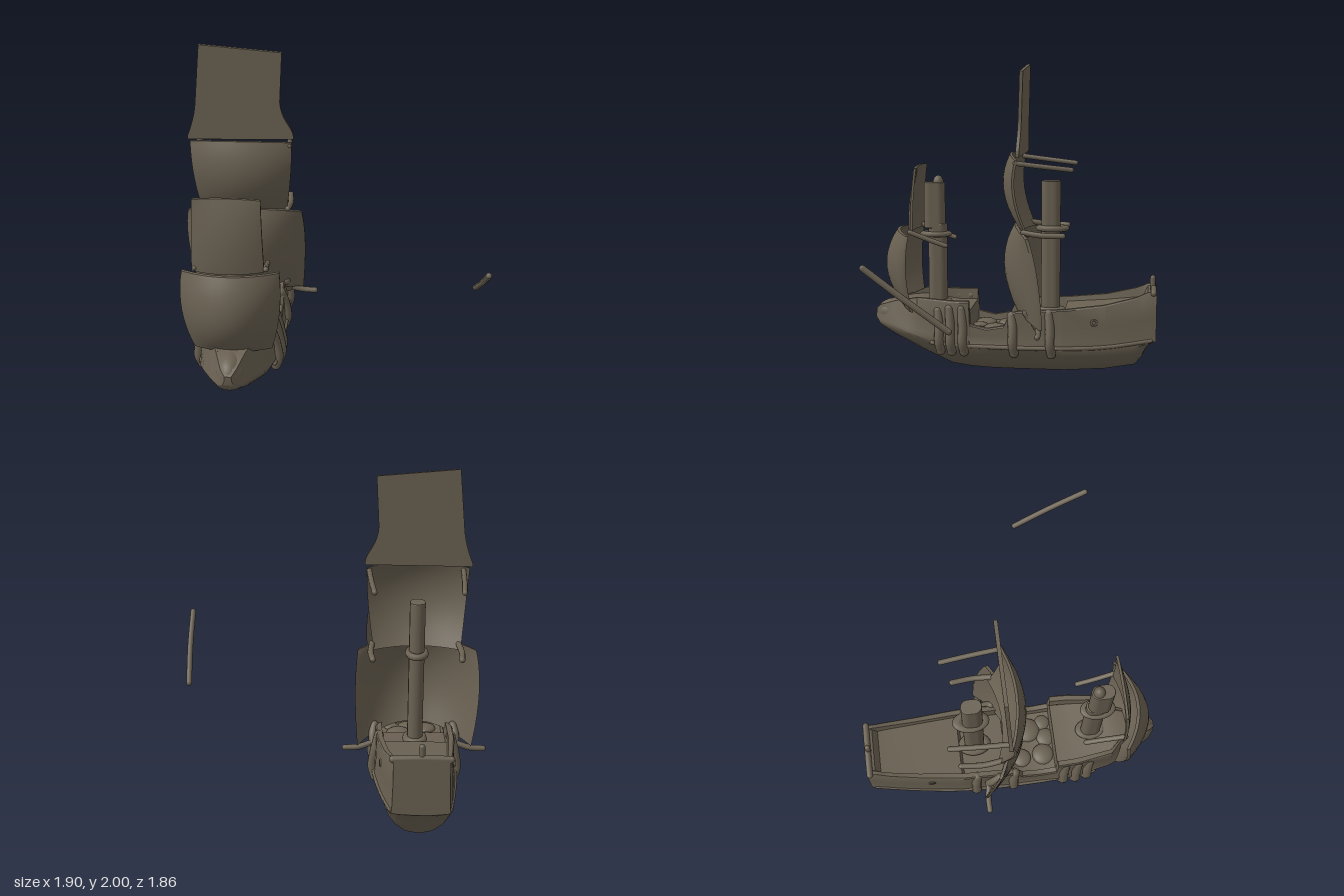
import * as THREE from 'three';
import { toCreasedNormals } from 'three/addons/utils/BufferGeometryUtils.js';

const CX = -0.515; // ship centreline
const wood = new THREE.MeshStandardMaterial({ color: 0x6a6152 });
wood.name = 'weathered brown';

function add(parent, name, geo) {
  const m = new THREE.Mesh(geo, wood);
  m.name = name;
  parent.add(m);
  return m;
}

// Closed skin over a run of equal-length loops, capped by strips
function loft(loops, crease) {
  const n = loops[0].length, idx = [];
  for (let i = 0; i < loops.length - 1; i++) {
    for (let j = 0; j < n; j++) {
      const a = i * n + j, b = i * n + (j + 1) % n, c = a + n, d = b + n;
      idx.push(a, c, b, b, c, d);
    }
  }
  const e = (loops.length - 1) * n;
  for (let j = 0; j < n / 2 - 1; j++) {
    const k = n - 1 - j;
    idx.push(j, j + 1, k, j + 1, k - 1, k);
    idx.push(e + j, e + k, e + j + 1, e + j + 1, e + k, e + k - 1);
  }
  const g = new THREE.BufferGeometry();
  g.setAttribute('position', new THREE.Float32BufferAttribute(loops.flat(2), 3));
  g.setIndex(idx);
  return toCreasedNormals(g, crease);
}

// Billowed sail through a head, belly and foot row: [y centre, y edge, x left, x right, z centre, z edge]
function sail(head, belly, foot, thick) {
  const N = 14, M = 10, loops = [];
  for (let r = 0; r <= M; r++) {
    const t = r / M;
    const [yc, ye, x0, x1, zc, ze] = head.map((h, i) =>
      h * (1 - t) * (1 - 2 * t) + belly[i] * 4 * t * (1 - t) + foot[i] * t * (2 * t - 1));
    const front = [], back = [];
    for (let i = 0; i <= N; i++) {
      const k = (i / N * 2 - 1) ** 2;
      const x = x0 + (x1 - x0) * i / N, y = yc + (ye - yc) * k, z = zc + (ze - zc) * k;
      front.push([x, y, z]);
      back.unshift([x, y, z - thick]);
    }
    loops.push([...front, ...back]);
  }
  return loft(loops, 0.9);
}

// Round-ended rod through points
function addRod(parent, name, points, r) {
  const g = new THREE.Group();
  g.name = name;
  parent.add(g);
  const v = points.map(p => new THREE.Vector3(...p));
  add(g, 'shaft', new THREE.TubeGeometry(new THREE.CatmullRomCurve3(v), 12, r, 10));
  for (const p of [v[0], v[v.length - 1]]) {
    add(g, 'roundEnd', new THREE.SphereGeometry(r, 10, 8)).position.copy(p);
  }
}

function buildHull() {
  // z, keel y, half width, rail y, deck y
  const stations = [
    [0.93, 0.33, 0.03, 0.385, 0.385],
    [0.9, 0.275, 0.07, 0.415, 0.415],
    [0.8, 0.215, 0.125, 0.45, 0.45],
    [0.69, 0.165, 0.18, 0.475, 0.465],
    [0.62, 0.13, 0.208, 0.5, 0.46],
    [0.4, 0.03, 0.245, 0.49, 0.42],
    [0.275, 0.012, 0.25, 0.49, 0.42],
    [0.268, 0.012, 0.25, 0.34, 0.29],
    [0.16, 0.005, 0.25, 0.315, 0.28],
    [0.05, 0.003, 0.25, 0.335, 0.28],
    [0.01, 0.003, 0.25, 0.42, 0.29],
    [-0.05, 0.003, 0.25, 0.435, 0.36],
    [-0.32, 0.003, 0.245, 0.45, 0.37],
    [-0.335, 0.003, 0.245, 0.45, 0.42],
    [-0.6, 0.02, 0.215, 0.482, 0.445],
    [-0.79, 0.055, 0.19, 0.53, 0.47],
    [-0.84, 0.12, 0.18, 0.55, 0.48],
    [-0.87, 0.19, 0.175, 0.565, 0.55],
    [-0.925, 0.235, 0.165, 0.565, 0.565],
  ];
  return loft(stations.map(([z, b, hw, t, d]) => {
    const w = 0.2 + b * (z > 0 ? 0.4 : 0.2); // wale height
    const th = hw * (z > 0.65 ? 0.65 : 0.94); // rail half width
    const h = w - b, u = t - w;
    const half = [
      [hw * 0.4, b + h * 0.1], [hw * 0.7, b + h * 0.36], [hw * 0.9, b + h * 0.7],
      [hw, w], [hw * 0.97, w + u * 0.12], [(hw + th) / 2 - 0.004, w + u * 0.5],
      [th, t - 0.008], [th * 0.97, t], [th * 0.84, t], [th * 0.81, d],
    ];
    const right = half.map(([x, y]) => [CX + x, y, z]);
    const left = half.map(([x, y]) => [CX - x, y, z]).reverse();
    return [[CX, b, z], ...right, [CX, d, z], ...left];
  }), 0.65);
}

// Mast with a flattened oval section
function addMast(parent, name, z, depth, y0, y1) {
  const r = 0.045, k = depth / 2 - r, s = new THREE.Shape();
  s.absarc(0, k, r, 0, Math.PI);
  s.absarc(0, -k, r, Math.PI, Math.PI * 2);
  const g = new THREE.ExtrudeGeometry(s, {
    depth: y1 - y0, bevelSize: 0.006, bevelThickness: 0.006, bevelOffset: -0.006, bevelSegments: 2, curveSegments: 10,
  });
  g.rotateX(-Math.PI / 2);
  add(parent, name, g).position.set(CX, y0, z);
}

// Oval collar round a mast
function addCollar(parent, name, y, z, rz, tube) {
  const m = add(parent, name, new THREE.TorusGeometry(0.05, tube, 8, 24));
  m.rotation.x = Math.PI / 2;
  m.scale.y = rz / 0.05;
  m.position.set(CX, y, z);
}

// Flat, waisted topsail leaning slightly aft
function buildTopsail() {
  const s = new THREE.Shape();
  s.moveTo(-0.845, 1.42);
  s.lineTo(-0.21, 1.43);
  s.bezierCurveTo(-0.2, 1.5, -0.28, 1.53, -0.288, 1.66);
  s.lineTo(-0.272, 1.96);
  s.lineTo(-0.755, 2.0);
  s.lineTo(-0.79, 1.64);
  s.quadraticCurveTo(-0.8, 1.55, -0.845, 1.44);
  const g = new THREE.ExtrudeGeometry(s, { depth: 0.022, bevelEnabled: false, curveSegments: 10 });
  const p = g.attributes.position;
  for (let i = 0; i < p.count; i++) p.setZ(i, p.getZ(i) - 0.055 - (p.getY(i) - 1.42) * 0.035);
  return g;
}

export function createModel() {
  const model = new THREE.Group();
  model.name = 'sailingShip';
  add(model, 'hull', buildHull());

  // Rounded prow
  const prow = add(model, 'prow', new THREE.SphereGeometry(1, 24, 16));
  prow.scale.set(0.085, 0.095, 0.13);
  prow.position.set(CX, 0.36, 0.8);

  // Masts, foot mouldings and collars
  addMast(model, 'foreMastLower', 0.513, 0.125, 0.42, 0.96);
  addMast(model, 'foreMastUpper', 0.533, 0.14, 0.94, 1.23);
  const tip = add(model, 'foreMastTip', new THREE.SphereGeometry(0.04, 14, 10));
  tip.scale.set(0.9, 1.3, 0.9);
  tip.position.set(CX, 1.23, 0.508);
  addMast(model, 'mainMast', -0.235, 0.125, 0.36, 1.25);
  addCollar(model, 'foreMastCollar', 0.895, 0.525, 0.08, 0.018);
  addCollar(model, 'mainMastCollar', 0.945, -0.245, 0.08, 0.02);
  addCollar(model, 'foreMastFoot', 0.44, 0.513, 0.07, 0.02);
  addCollar(model, 'mainMastFoot', 0.4, -0.235, 0.07, 0.025);

  // Sails
  add(model, 'mainCourseSail', sail(
    [0.98, 0.92, -0.88, -0.17, 0, -0.1], [0.72, 0.67, -0.9, -0.155, 0.072, -0.16], [0.43, 0.34, -0.86, -0.17, -0.005, -0.19], 0.02));
  add(model, 'mainMiddleSail', sail(
    [1.435, 1.41, -0.83, -0.22, 0.03, -0.03], [1.19, 1.18, -0.815, -0.23, 0.074, -0.015], [0.93, 0.92, -0.785, -0.265, -0.045, -0.1], 0.016));
  add(model, 'foreCourseSail', sail(
    [0.935, 0.915, -0.79, -0.24, 0.775, 0.675], [0.68, 0.67, -0.797, -0.24, 0.856, 0.695], [0.43, 0.41, -0.74, -0.29, 0.74, 0.66], 0.02));
  add(model, 'foreUpperSail', sail(
    [1.35, 1.34, -0.718, -0.338, 0.64, 0.635], [1.13, 1.13, -0.726, -0.333, 0.693, 0.655], [0.91, 0.91, -0.735, -0.325, 0.7, 0.66], 0.016));
  add(model, 'mainTopsail', buildTopsail());

  for (const side of [-1, 1]) {
    const X = x => CX + side * x;
    // Spars reaching aft from the sail corners, and booms at the foot
    addRod(model, 'upperMainSpar', [[X(0.28), 1.39, -0.03], [X(0.27), 1.37, -0.2], [X(0.255), 1.35, -0.38]], 0.016);
    addRod(model, 'lowerMainSpar', [[X(0.26), 0.95, -0.08], [X(0.27), 0.935, -0.2], [X(0.26), 0.932, -0.33]], 0.018);
    addRod(model, 'foreSpar', [[X(0.2), 0.93, 0.66], [X(0.19), 0.88, 0.53], [X(0.185), 0.845, 0.43]], 0.016);
    addRod(model, 'sheetBoom', [[X(0.24), 0.35, -0.17], [X(0.34), 0.32, -0.185], [X(0.42), 0.315, -0.185]], 0.018);

    // Rope bands draped over the sides
    for (const [z, top] of [[0.47, 0.42], [0.395, 0.44], [0.315, 0.44], [-0.01, 0.4], [-0.25, 0.42]]) {
      const inset = z > 0.44 ? 0.012 : 0;
      addRod(model, 'ropeBand', [[X(0.215 - inset), top, z + 0.01], [X(0.24 - inset), 0.32, z],
        [X(0.253 - inset), 0.22, z], [X(0.235 - inset), 0.16, z - 0.01]], 0.03);
    }
    addRod(model, 'shortRopeBand', [[X(0.24), 0.43, -0.1], [X(0.25), 0.39, -0.14], [X(0.25), 0.34, -0.17]], 0.026);

    // Wale along the waterline, and a porthole
    addRod(model, 'wale', [[X(0.22), 0.21, 0.52], [X(0.242), 0.2, 0.25], [X(0.242), 0.2, -0.3],
      [X(0.208), 0.21, -0.6], [X(0.165), 0.25, -0.89]], 0.014);
    const port = add(model, 'porthole', new THREE.TorusGeometry(0.018, 0.006, 8, 18));
    port.rotation.y = Math.PI / 2;
    port.position.set(X(0.214), 0.37, -0.53);
  }

  // Stern post and transom rail
  addRod(model, 'sternPost', [[CX, 0.53, -0.9], [CX, 0.58, -0.9], [CX, 0.63, -0.9]], 0.018);
  addRod(model, 'sternRail', [[CX - 0.16, 0.56, -0.905], [CX, 0.565, -0.905], [CX + 0.16, 0.56, -0.905]], 0.02);

  // Cargo lumps on the waist deck
  for (const [x, z, r] of [[-0.09, 0.2, 0.07], [0.08, 0.12, 0.08], [0.02, 0.23, 0.06], [-0.1, 0.06, 0.06], [0.12, 0.22, 0.05]]) {
    const lump = add(model, 'deckCargo', new THREE.SphereGeometry(r, 14, 10));
    lump.scale.y = 0.4;
    lump.position.set(CX + x, 0.285, z);
  }

  // Loose spar away from the ship
  addRod(model, 'looseSpar', [[0.925, 0.925, 0.66], [0.92, 0.76, 0.44], [0.902, 0.585, 0.2]], 0.018);
  return model;
}
